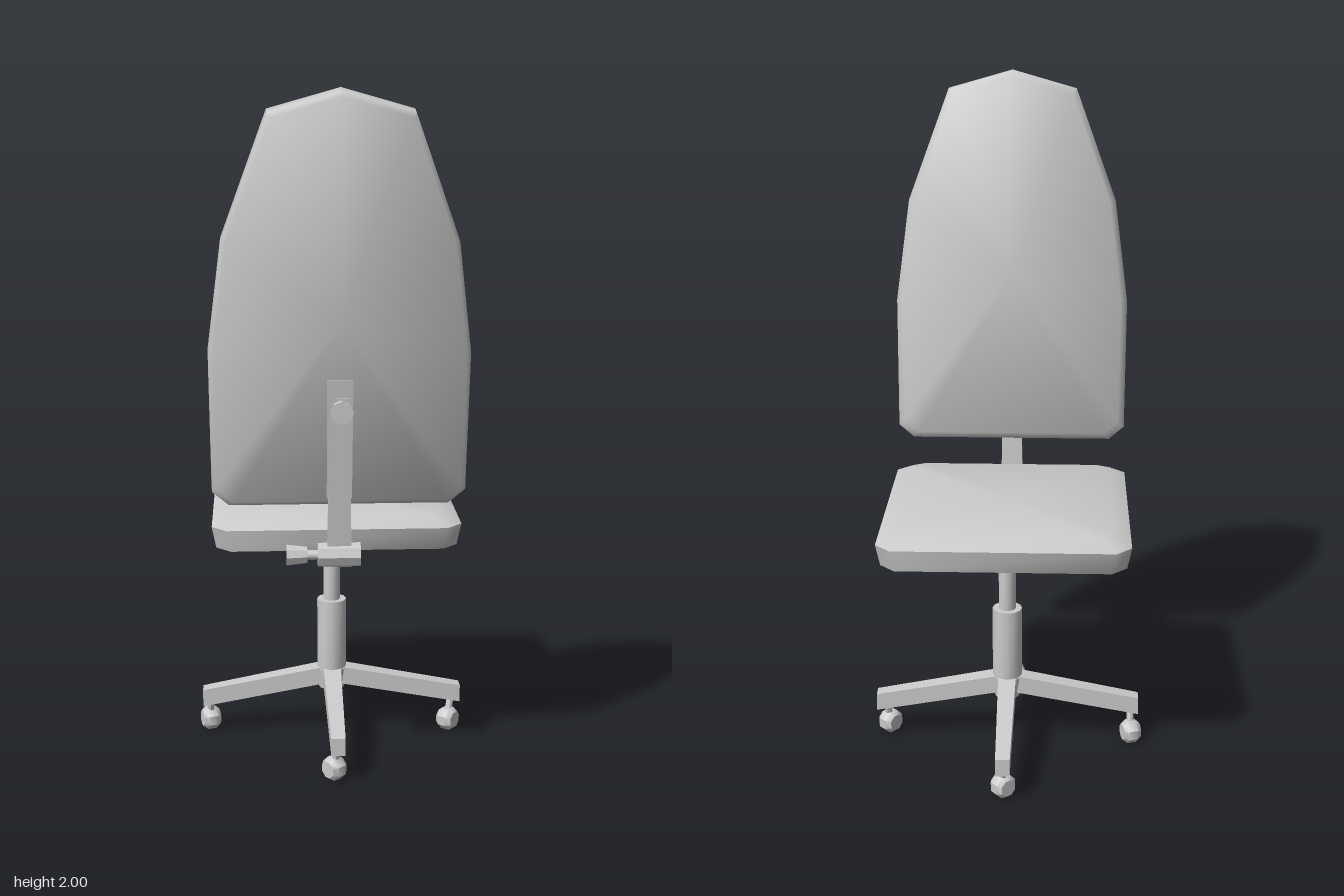
import * as THREE from 'three';
import { toCreasedNormals } from 'three/addons/utils/BufferGeometryUtils.js';

const V = (x, y, z) => new THREE.Vector3(x, y, z);
const material = new THREE.MeshStandardMaterial({ color: 0xcccccc });

function addMesh(parent, name, geometry, crease = 0.7) {
  const mesh = new THREE.Mesh(toCreasedNormals(geometry, crease), material);
  mesh.name = name;
  parent.add(mesh);
  return mesh;
}

// Skin over rings of points (counter-clockwise about the travel), with fan caps
function loft(rings) {
  const n = rings[0].length;
  const last = rings.length - 1;
  const points = rings.flat();
  const index = [];
  for (let i = 0; i < last; i++) {
    for (let j = 0; j < n; j++) {
      const a = i * n + j, b = i * n + (j + 1) % n;
      index.push(a, b, b + n, a, b + n, a + n);
    }
  }
  for (const i of [0, last]) {
    const centre = V(0, 0, 0);
    rings[i].forEach(p => centre.addScaledVector(p, 1 / n));
    points.push(centre);
    const c = points.length - 1;
    for (let j = 0; j < n; j++) {
      const a = i * n + j, b = i * n + (j + 1) % n;
      if (i === 0) index.push(c, b, a); else index.push(c, a, b);
    }
  }
  const geometry = new THREE.BufferGeometry().setFromPoints(points);
  geometry.setIndex(index);
  return geometry;
}

// Tapered rectangular bar from a to b; sizes are [width, height] at each end
function bar(a, b, sizeA, sizeB, up = V(0, 1, 0)) {
  const side = up.clone().cross(b.clone().sub(a)).normalize();
  const ring = (p, [w, h]) => [[-1, -1], [1, -1], [1, 1], [-1, 1]].map(([s, u]) =>
    p.clone().addScaledVector(side, s * w / 2).addScaledVector(up, u * h / 2));
  return loft([ring(a, sizeA), ring(b, sizeB)]);
}

// Cushion: an outline in XY stacked along z, each layer [z, inset]
function cushion(outline, layers) {
  const ys = outline.map(p => p[1]);
  const top = Math.max(...ys), bottom = Math.min(...ys);
  const mid = (top + bottom) / 2, hy = (top - bottom) / 2;
  const hx = Math.max(...outline.map(p => p[0]));
  return loft(layers.map(([z, inset]) => outline.map(([x, y]) =>
    V(x * (1 - inset / hx), mid + (y - mid) * (1 - inset / hy), z))));
}

// Cylinder between two points
function rod(a, b, ra, rb = ra, sides = 10) {
  const d = b.clone().sub(a);
  const geometry = new THREE.CylinderGeometry(rb, ra, d.length(), sides);
  geometry.applyQuaternion(new THREE.Quaternion().setFromUnitVectors(V(0, 1, 0), d.normalize()));
  const mid = a.clone().add(b).multiplyScalar(0.5);
  return geometry.translate(mid.x, mid.y, mid.z);
}

export function createModel() {
  const chair = new THREE.Group();
  chair.name = 'officeChair';
  const cz = -0.08; // column position in z

  // Seat cushion with cut corners
  const h = 0.36, c = 0.045;
  const seatOutline = [[h, c - h], [h, h - c], [h - c, h], [c - h, h],
    [-h, h - c], [-h, c - h], [c - h, -h], [h - c, -h]];
  const seat = addMesh(chair, 'seat',
    cushion(seatOutline, [[0, 0.012], [0.065, 0], [0.09, 0.05]]), 0.9);
  seat.rotation.x = -Math.PI / 2;
  seat.position.set(0, 0.7, cz);

  // Tall tapering backrest, leaning back
  const half = [[0.31, 0], [0.357, 0.04], [0.36, 0.44], [0.32, 0.75], [0.195, 1.09]];
  const backOutline = [...half, [0, 1.145], ...half.map(([x, y]) => [-x, y]).reverse()];
  const back = addMesh(chair, 'backrest',
    cushion(backOutline, [[0, 0.02], [0.018, 0], [0.075, 0.003], [0.086, 0.016]]), 0.9);
  back.rotation.x = 0.108;
  back.position.set(0, 0.863, 0.262);

  // Under-seat beam, tilt pivot and its knob
  addMesh(chair, 'seatBeam',
    bar(V(0, 0.683, -0.15), V(0, 0.69, 0.345), [0.09, 0.036], [0.07, 0.028]));
  addMesh(chair, 'backPivot', rod(V(-0.06, 0.712, 0.345), V(0.06, 0.712, 0.345), 0.035, 0.035, 8));
  addMesh(chair, 'pivotKnobShaft', rod(V(-0.1, 0.712, 0.345), V(-0.05, 0.712, 0.345), 0.014));
  addMesh(chair, 'pivotKnob', rod(V(-0.148, 0.712, 0.345), V(-0.09, 0.712, 0.345), 0.031, 0.024, 8));

  // Backrest support strip, mounting plate and height knob
  addMesh(chair, 'backSupport',
    bar(V(0, 0.715, 0.35), V(0, 1.17, 0.39), [0.068, 0.016], [0.055, 0.014], V(0, 0, 1)));
  addMesh(chair, 'backPlate',
    bar(V(0, 0.88, 0.352), V(0, 1.22, 0.39), [0.07, 0.014], [0.072, 0.014], V(0, 0, 1)));
  addMesh(chair, 'heightKnobShaft', rod(V(0, 1.15, 0.375), V(0, 1.15, 0.46), 0.013));
  addMesh(chair, 'heightKnob', rod(V(0, 1.15, 0.44), V(0, 1.15, 0.488), 0.026, 0.032, 8));

  // Seat height lever with a flat paddle
  addMesh(chair, 'leverRod', rod(V(-0.03, 0.677, cz), V(-0.28, 0.644, cz), 0.006, 0.006, 6));
  addMesh(chair, 'leverPaddle',
    bar(V(-0.2, 0.654, cz), V(-0.325, 0.636, cz), [0.015, 0.012], [0.05, 0.006]));

  // Gas column
  addMesh(chair, 'columnPiston', rod(V(0, 0.4, cz), V(0, 0.675, cz), 0.026, 0.026, 12));
  addMesh(chair, 'columnSleeve', rod(V(0, 0.19, cz), V(0, 0.435, cz), 0.045, 0.045, 12));
  addMesh(chair, 'hub', rod(V(0, 0.145, cz), V(0, 0.21, cz), 0.04, 0.048, 12));

  // Four-arm base; each caster has its own swivel
  const casters = [
    { x: 0.368, z: -0.062, yaw: 0.7 }, { x: 0, z: -0.437, yaw: 0.9 },
    { x: -0.383, z: -0.105, yaw: -0.3 }, { x: -0.01, z: 0.283, yaw: -0.7 },
  ];
  casters.forEach(({ x, z, yaw }, i) => {
    const a = i * Math.PI / 2, dx = Math.cos(a), dz = -Math.sin(a);
    const base = new THREE.Group();
    base.name = 'baseArm' + (i + 1);
    chair.add(base);
    addMesh(base, 'arm', bar(V(dx * 0.01, 0.192, cz + dz * 0.01),
      V(dx * 0.405, 0.117, cz + dz * 0.405), [0.055, 0.055], [0.042, 0.054]));
    addMesh(base, 'casterStem',
      rod(V(x, 0.04, z), V(dx * 0.38, 0.12, cz + dz * 0.38), 0.011, 0.011, 8));
    const s = 0.027, f = V(Math.cos(yaw), 0, Math.sin(yaw));
    const wheel = loft([[-s, 0.026], [-s * 0.5, 0.037], [s * 0.5, 0.037], [s, 0.026]]
      .map(([t, r]) => Array.from({ length: 8 }, (_, k) => {
        const w = (k + 0.5) * Math.PI / 4;
        return V(r * Math.cos(w), r * Math.sin(w), t);
      })));
    wheel.applyQuaternion(new THREE.Quaternion().setFromUnitVectors(V(0, 0, 1), f));
    addMesh(base, 'casterWheel', wheel).position.set(x, 0.0345, z);
  });

  return chair;
}
